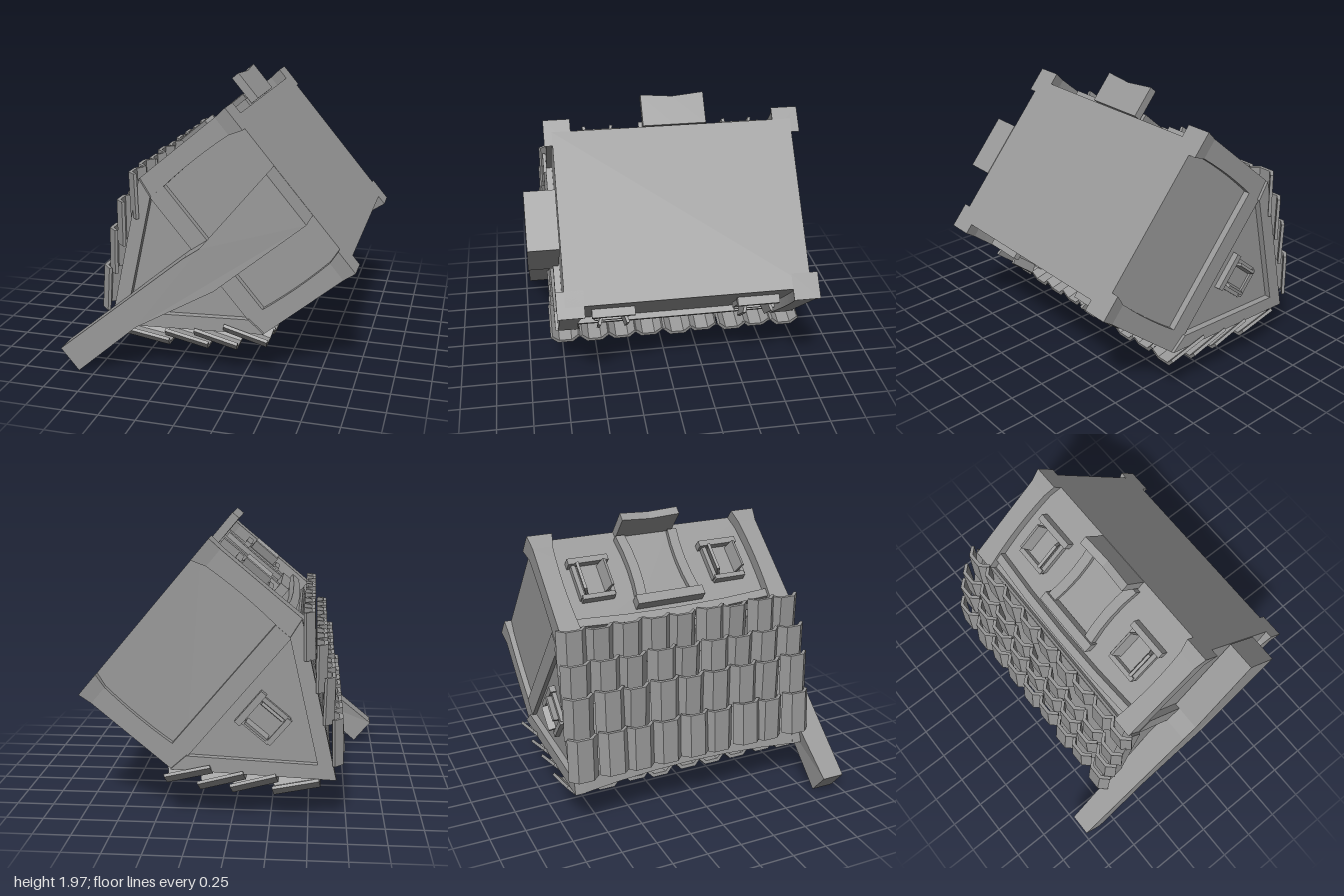
import * as THREE from 'three';

const mat = new THREE.MeshStandardMaterial({ color: 0x999999, flatShading: true, side: THREE.DoubleSide });

function mesh(parent, name, geo, x = 0, y = 0, z = 0) {
  const m = new THREE.Mesh(geo, mat);
  m.name = name;
  m.position.set(x, y, z);
  parent.add(m);
  return m;
}

const box = (parent, name, w, h, d, x, y, z) => mesh(parent, name, new THREE.BoxGeometry(w, h, d), x, y, z);

function extrude(points, depth, steps = 1) {
  const shape = new THREE.Shape(points.map(p => new THREE.Vector2(p[0], p[1])));
  return new THREE.ExtrudeGeometry(shape, { depth, steps, bevelEnabled: false });
}

// Apply a rule to every vertex
function deform(geo, rule) {
  const p = geo.attributes.position, v = new THREE.Vector3();
  for (let i = 0; i < p.count; i++) {
    v.fromBufferAttribute(p, i);
    rule(v);
    p.setXYZ(i, v.x, v.y, v.z);
  }
  geo.computeVertexNormals();
  return geo;
}

// Corner post with a flared foot and a slight waist
function post(parent, sx, sz) {
  const geo = deform(new THREE.BoxGeometry(0.18, 0.79, 0.18, 1, 8, 1), v => {
    const foot = v.y < -0.39;
    const k = foot ? 1 : 0.72 + 0.12 * (v.y / 0.395) ** 2;
    v.x = sx * (0.09 + (v.x - 0.09) * k - (foot ? 0 : 0.006));
    v.z = sz * (0.09 + (v.z - 0.09) * k - (foot ? 0 : 0.015));
  });
  mesh(parent, 'cornerPost', geo, sx * 0.577, 0.395, sz * 0.78);
}

// Window facing +z, centred on its own origin, with half-open shutters
function windowFrame(w, h, depth) {
  const g = new THREE.Group();
  g.name = 'window';
  box(g, 'sill', w, 0.045, depth * 0.6, 0, -h / 2, depth * 0.3);
  box(g, 'lintel', w * 0.8, 0.035, depth * 0.5, 0, h / 2, depth * 0.25);
  for (const s of [-1, 1]) {
    box(g, 'jamb', 0.03, h, depth * 0.4, s * w * 0.38, 0, depth * 0.2);
    const shutter = box(g, 'shutter', 0.02, h * 0.75, depth, s * w * 0.28, 0, depth / 2);
    shutter.rotation.y = s * 0.3;
  }
  box(g, 'pane', w * 0.6, h, 0.02, 0, 0, 0.01);
  return g;
}

// Angular roof tiles on the +x slope
function tiledSlope(seed, tilt) {
  const g = new THREE.Group();
  g.name = 'roofTiles';
  const tile = extrude([[-0.106, -0.024], [-0.054, 0.032], [0.054, 0.032], [0.106, -0.024],
    [0.092, -0.04], [0.044, 0.008], [-0.044, 0.008], [-0.092, -0.04]], 0.31);
  tile.translate(0, 0, -0.155);
  const rows = [[0.603, 0.881, 0.69], [0.504, 1.075, 0.69], [0.383, 1.248, 0.7], [0.214, 1.468, 0.75]];
  rows.forEach(([x, y, a], r) => {
    for (let c = 0; c < 9; c++) {
      const wobble = Math.sin(seed + r * 5.3 + c * 2.7);
      const t = a + tilt + wobble * 0.03;
      const out = new THREE.Vector3(Math.sin(t), Math.cos(t), 0);
      const down = new THREE.Vector3(Math.cos(t), -Math.sin(t), 0);
      const m = mesh(g, 'roofTile', tile, x + wobble * 0.008, y, (c - 4) * 0.2 + wobble * 0.01);
      m.quaternion.setFromRotationMatrix(new THREE.Matrix4().makeBasis(new THREE.Vector3(0, 0, -1), out, down));
    }
  });
  return g;
}

export function createModel() {
  const model = new THREE.Group();
  model.name = 'tiltedHouse';
  const house = new THREE.Group();
  house.name = 'house';
  house.position.set(0.568, 1.353, -0.07);
  house.rotation.z = THREE.MathUtils.degToRad(130);
  model.add(house);

  // Walls and posts
  box(house, 'walls', 1.175, 0.83, 1.63, -0.005, 0.415, 0);
  for (const sx of [-1, 1]) for (const sz of [-1, 1]) post(house, sx, sz);

  // Roof body with a sagging ridge
  const roof = extrude([[-0.61, 0.79], [0.61, 0.79], [0, 1.63]], 1.66, 6);
  roof.translate(0, 0, -0.83);
  deform(roof, v => { if (v.y > 1) v.y -= 0.05 * (1 - (v.z / 0.83) ** 2); });
  mesh(house, 'roof', roof);

  // Gable timbers
  for (const sz of [-1, 1]) {
    const z = sz * 0.84;
    for (const s of [-1, 1]) {
      const board = extrude([[s * 0.66, 0.77], [0, 1.63], [0, 1.47], [s * 0.52, 0.79]], 0.07);
      mesh(house, 'gableBoard', board, 0, 0, z - 0.035);
    }
    box(house, 'gableBeam', 1.04, 0.13, 0.05, 0, 0.735, z - sz * 0.005);
  }

  // Bowed side beams, and windows
  for (const s of [-1, 1]) {
    const beam = deform(new THREE.BoxGeometry(0.06, 0.06, 1.46, 1, 1, 4), v => {
      v.y += 0.03 * (1 - (v.z / 0.73) ** 2);
    });
    mesh(house, 'sideBeam', beam, s * 0.605, 0.69, 0);
    for (const z of [-0.5, 0.49]) {
      const w = windowFrame(0.29, 0.28, 0.11);
      w.position.set(s * 0.585, 0.37, z);
      w.rotation.y = s * Math.PI / 2;
      house.add(w);
    }
  }
  const gableWindow = windowFrame(0.27, 0.24, 0.07);
  gableWindow.position.set(0, 1.02, -0.83);
  gableWindow.rotation.y = Math.PI;
  house.add(gableWindow);

  // Door with frame and step
  const door = new THREE.Group();
  door.name = 'door';
  door.position.set(0.58, 0, -0.01);
  house.add(door);
  box(door, 'doorPanel', 0.03, 0.5, 0.36, 0.01, 0.31, 0);
  for (const s of [-1, 1]) {
    const jamb = deform(new THREE.BoxGeometry(0.06, 0.5, 0.07, 1, 4, 1), v => {
      v.z -= s * 0.02 * (1 - (v.y / 0.25) ** 2);
    });
    mesh(door, 'doorJamb', jamb, 0.03, 0.32, s * 0.2);
  }
  box(door, 'doorLintel', 0.08, 0.07, 0.5, 0.04, 0.6, 0);
  const step = deform(new THREE.BoxGeometry(0.22, 0.06, 0.43, 1, 1, 2), v => {
    if (v.x > 0 && Math.abs(v.z) < 0.01) v.x -= 0.02;
  });
  mesh(door, 'doorStep', step, 0.12, 0.03, -0.005);

  // Chimney stack on the front gable
  const stack = extrude([[-0.21, 0], [0.19, 0], [0.068, 0.67], [0.08, 0.8], [0.087, 1.965],
    [-0.112, 1.965], [-0.1, 1.4], [-0.208, 0.78]], 0.22);
  deform(stack, v => {
    if (v.y > 1.3 && v.z < 0.1) v.z += 0.06;
    if (v.y < 0.1 && v.z > 0.1) v.z -= 0.01;
  });
  mesh(house, 'chimney', stack, 0, 0, 0.82);

  // Tiles on both slopes
  const slopeA = tiledSlope(1, 0);
  const slopeB = tiledSlope(4, -0.06);
  slopeB.rotation.y = Math.PI;
  house.add(slopeA, slopeB);

  return model;
}
